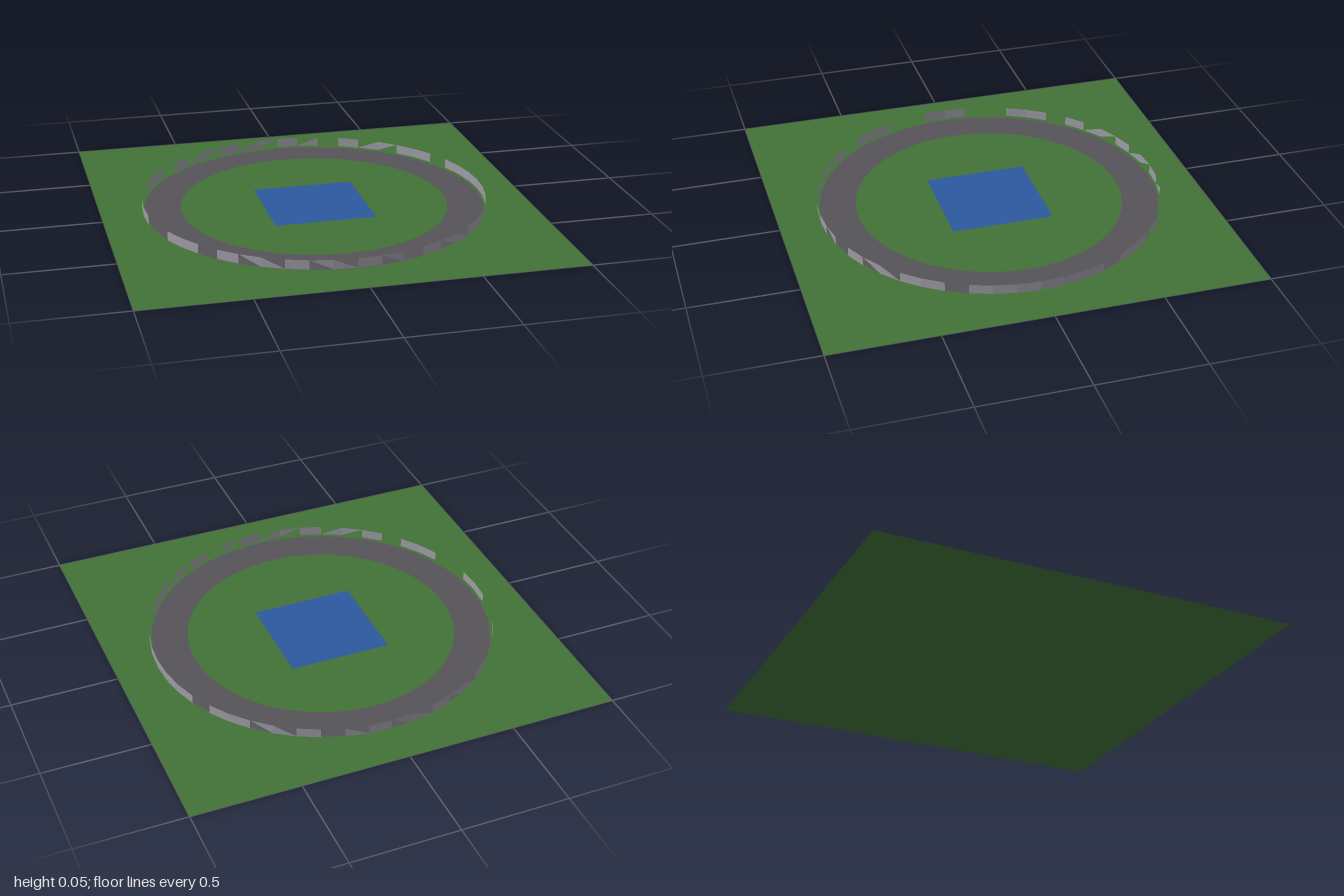
import * as THREE from 'three';

const mat = (name, color, side = THREE.FrontSide) => {
  const m = new THREE.MeshStandardMaterial({ color, side });
  m.name = name;
  return m;
};

// Panels of half the barrier, 7.5 degrees each, from the right side round the front to the left:
// F full panel, R upper right triangle, L lower left triangle, - gap
const PANELS = 'F--FF-FRLFRLFR-FRLFF-FFF';
const RADIUS = 0.81, BOTTOM = 0.01, TOP = 0.054;

function halfBarrier() {
  const half = (TOP - BOTTOM) / 2, step = Math.PI / PANELS.length, positions = [];
  const point = (angle, y) => [RADIUS * Math.sin(angle), y, RADIUS * Math.cos(angle)];
  [...PANELS].forEach((kind, i) => {
    const a = -Math.PI / 2 + i * step, b = a + step;
    const topA = point(a, half), lowA = point(a, -half);
    const topB = point(b, half), lowB = point(b, -half);
    if (kind === 'F' || kind === 'L') positions.push(...topA, ...lowA, ...lowB);
    if (kind === 'F' || kind === 'R') positions.push(...topA, ...lowB, ...topB);
  });
  const geometry = new THREE.BufferGeometry();
  geometry.setAttribute('position', new THREE.Float32BufferAttribute(positions, 3));
  geometry.computeVertexNormals();
  return geometry;
}

export function createModel() {
  const group = new THREE.Group();
  group.name = 'ringTrack';

  const grass = mat('grass green', 0x427238, THREE.DoubleSide);
  const asphalt = mat('asphalt grey', 0x555358);
  const water = mat('water blue', 0x2c599e);
  const metal = mat('barrier grey', 0x9c9aa4, THREE.DoubleSide);

  // Flat layers, one just above another
  const layer = (name, geometry, material, y) => {
    const mesh = new THREE.Mesh(geometry.rotateX(-Math.PI / 2), material);
    mesh.name = name;
    mesh.position.y = y;
    group.add(mesh);
  };
  layer('ground', new THREE.PlaneGeometry(2, 2), grass, 0);
  layer('road', new THREE.RingGeometry(0.63, 0.8, 64), asphalt, 0.004);
  layer('pond', new THREE.PlaneGeometry(0.48, 0.48), water, 0.004);

  // Broken barrier round the road: the back half is the front half turned over about x
  const barrier = new THREE.Group();
  barrier.name = 'barrier';
  barrier.position.y = (TOP + BOTTOM) / 2;
  const geometry = halfBarrier();
  ['frontBarrier', 'backBarrier'].forEach((name, i) => {
    const mesh = new THREE.Mesh(geometry, metal);
    mesh.name = name;
    mesh.rotation.x = i * Math.PI;
    barrier.add(mesh);
  });
  group.add(barrier);

  return group;
}
